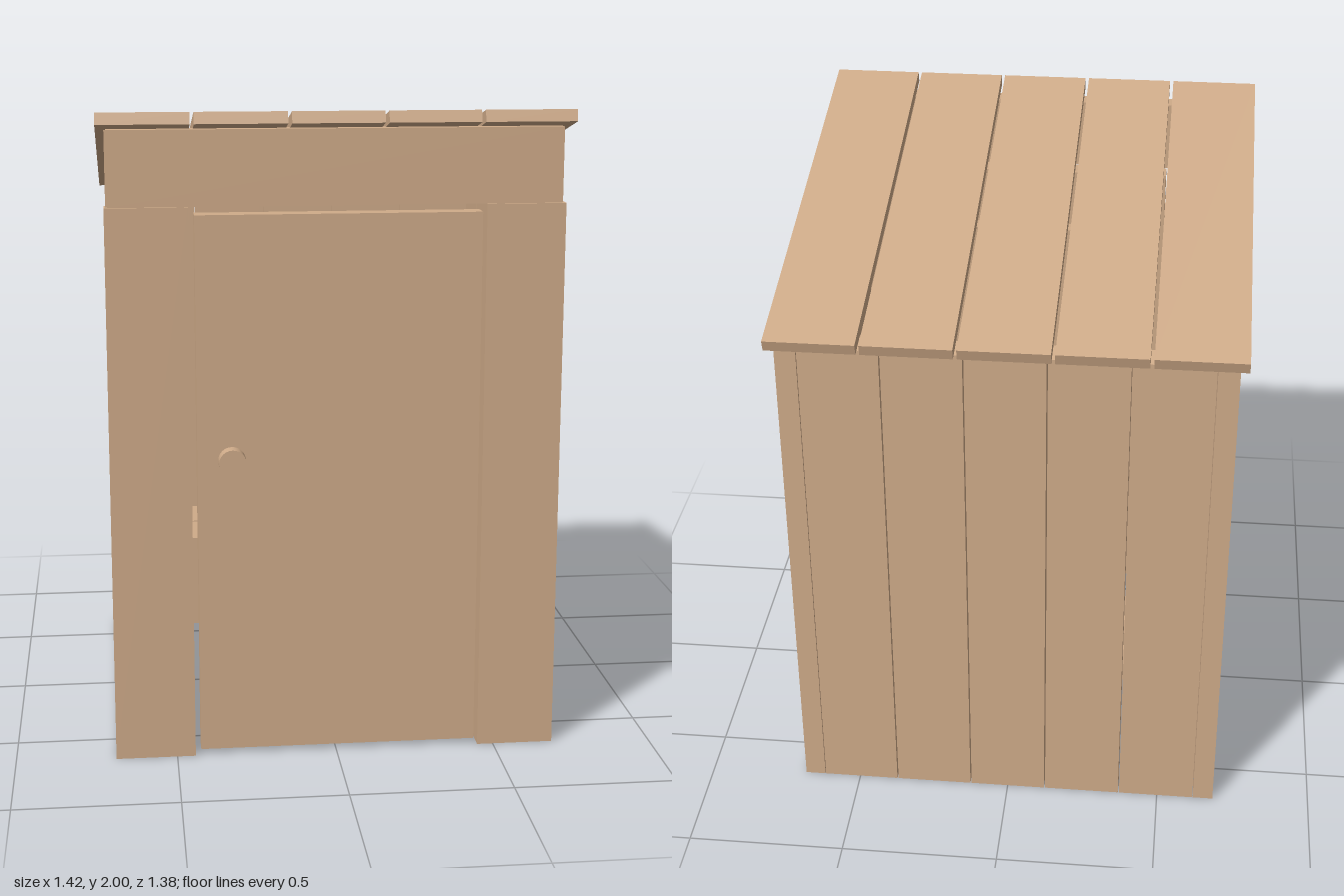
import * as THREE from 'three';

export function createModel() {
  const model = new THREE.Group();
  const wood = new THREE.MeshStandardMaterial({ color: 0xcfab89 });
  wood.name = 'wood';

  const add = (name, geometry) => {
    const mesh = new THREE.Mesh(geometry, wood);
    mesh.name = name;
    model.add(mesh);
    return mesh;
  };
  // Box given by its limits
  const box = (name, x0, x1, y0, y1, z0, z1) =>
    add(name, new THREE.BoxGeometry(x1 - x0, y1 - y0, z1 - z0)
      .translate((x0 + x1) / 2, (y0 + y1) / 2, (z0 + z1) / 2));
  // Side profile of [z, y] points, extruded from x0 to x1
  const slab = (name, points, x0, x1) => {
    const shape = new THREE.Shape(points.map(([z, y]) => new THREE.Vector2(z, y)));
    const geometry = new THREE.ExtrudeGeometry(shape, { depth: x1 - x0, bevelEnabled: false });
    return add(name, geometry.rotateY(-Math.PI / 2).translate(x1, 0, 0));
  };
  // Height of the sloping wall top
  const topAt = (z) => 1.797 + 0.2346 * z;
  const wallPlank = (name, x0, x1, z0, z1) =>
    slab(name, [[z0, 0], [z1, 0], [z1, topAt(z1)], [z0, topAt(z0)]], x0, x1);

  // Sloping roof planks
  const roofProfile = [[0.69, 1.965], [0.68, 2.0], [-0.685, 1.68], [-0.675, 1.645]];
  for (let i = 0; i < 5; i++) {
    const x = (i - 2) * 0.2865;
    slab('roofPlank', roofProfile, x - 0.1375, x + 0.1375);
  }

  // Side walls, mirrored
  const sidePlanks = [[-0.65, -0.407], [-0.398, -0.161], [-0.152, 0.092], [0.104, 0.346], [0.349, 0.59]];
  for (const [z0, z1] of sidePlanks) {
    wallPlank('leftWallPlank', 0.62, 0.685, z0, z1);
    wallPlank('rightWallPlank', -0.685, -0.62, z0, z1);
  }
  // Upper wall ends above the front boards
  for (const s of [-1, 1]) {
    slab('wallEnd', [[0.589, 1.72], [0.635, 1.72], [0.635, topAt(0.635)], [0.589, topAt(0.589)]],
      s * 0.6525 - 0.0325, s * 0.6525 + 0.0325);
  }

  // Back wall
  for (let i = 0; i < 5; i++) {
    const x = (i - 2) * 0.248;
    wallPlank('backPlank', x - 0.122, x + 0.122, -0.65, -0.588);
  }

  // Front boards and header
  box('frontBoardLeft', 0.45, 0.69, 0, 1.72, 0.59, 0.66);
  box('frontBoardRight', -0.69, -0.443, 0, 1.72, 0.59, 0.66);
  box('header', -0.68, 0.68, 1.72, 1.947, 0.59, 0.65);

  // Door with inner battens and a diagonal brace
  box('door', -0.425, 0.44, 0.015, 1.695, 0.58, 0.645);
  box('doorBatten', -0.38, 0.43, 0.21, 0.43, 0.525, 0.58);
  box('doorBatten', -0.38, 0.43, 1.28, 1.5, 0.525, 0.58);
  const brace = new THREE.Shape([[-0.38, 0.43], [-0.18, 0.43], [0.43, 1.28], [0.23, 1.28]]
    .map(([x, y]) => new THREE.Vector2(x, y)));
  add('doorBrace', new THREE.ExtrudeGeometry(brace, { depth: 0.055, bevelEnabled: false })
    .translate(0, 0, 0.525));

  // Door knob
  add('doorKnob', new THREE.CylinderGeometry(0.042, 0.042, 0.05, 24)
    .rotateX(Math.PI / 2).translate(-0.32, 0.947, 0.665));

  // Bench inside
  box('benchSeatFront', -0.62, 0.62, 0.425, 0.46, -0.377, -0.17);
  box('benchSeatBack', -0.62, 0.62, 0.425, 0.46, -0.58, -0.385);
  box('benchFrontBoard', -0.62, 0.62, 0.21, 0.425, -0.22, -0.18);

  return model;
}
